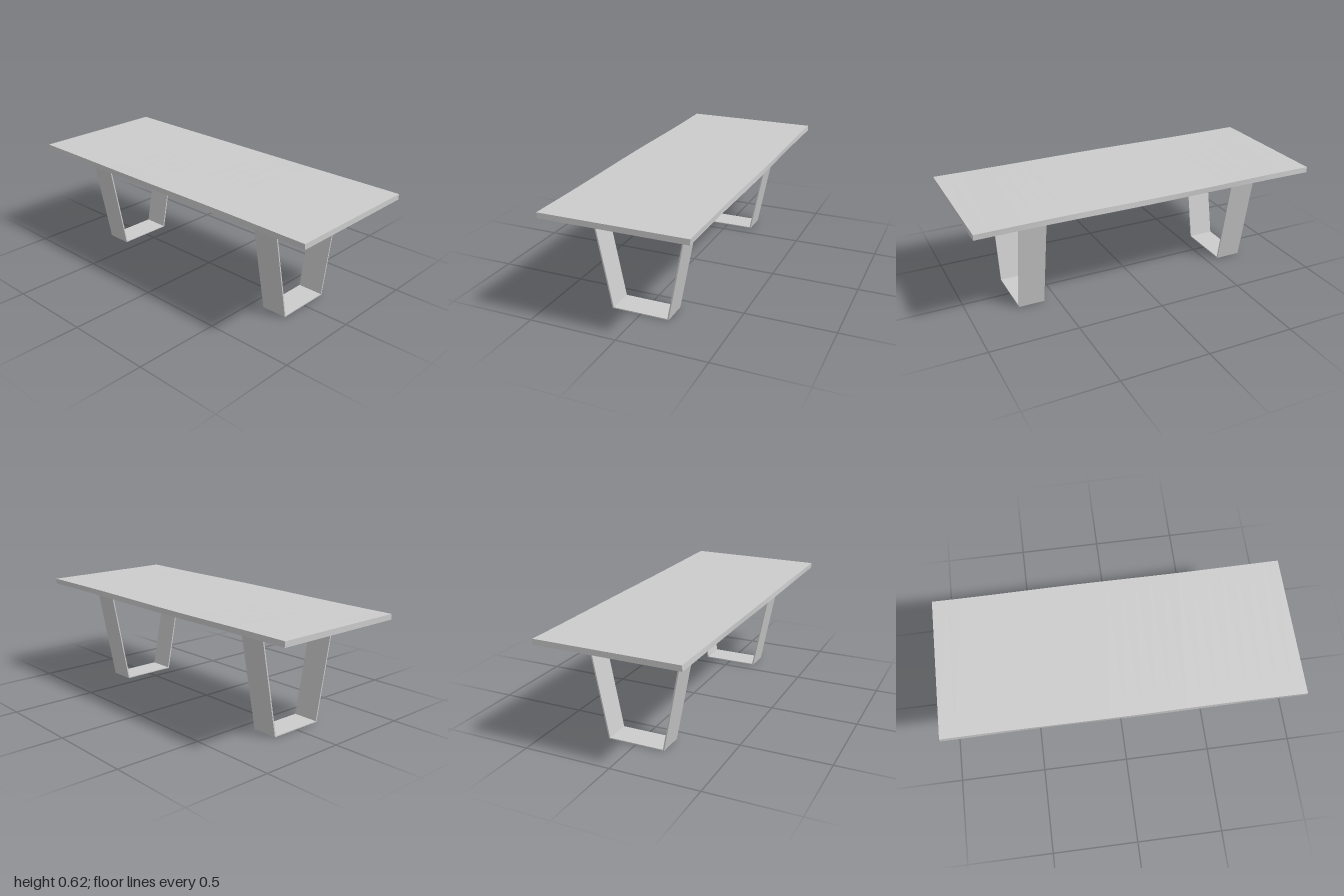
import * as THREE from 'three';

const grey = new THREE.MeshStandardMaterial({ color: 0xcccccc, flatShading: true });

function add(group, name, geometry, x = 0, y = 0, z = 0) {
  const mesh = new THREE.Mesh(geometry, grey);
  mesh.name = name;
  mesh.position.set(x, y, z);
  group.add(mesh);
  return mesh;
}

// Slab with slightly uneven, hand-cut long edges
function slabGeometry() {
  const geo = new THREE.BoxGeometry(2, 0.031, 0.812, 24, 1, 1);
  const p = geo.attributes.position;
  for (let i = 0; i < p.count; i++) {
    const x = p.getX(i), y = p.getY(i), z = p.getZ(i);
    const side = Math.sign(z);
    p.setZ(i, z + 0.002 * Math.sin(x * 5 + side * 1.3 + y * 40));
    p.setY(i, y + 0.001 * Math.sin(x * 4 + side));
  }
  geo.computeVertexNormals();
  return geo;
}

// Closed trapezoid frame of flat bar, drawn in z/y and extruded along x
function legGeometry(width) {
  const trapezoid = (bottom, top, y0, y1) =>
    [[-bottom, y0], [bottom, y0], [top, y1], [-top, y1]].map(([a, b]) => new THREE.Vector2(a, b));
  const shape = new THREE.Shape(trapezoid(0.165, 0.279, 0, 0.591));
  shape.holes.push(new THREE.Path(trapezoid(0.158, 0.27, 0.006, 0.584).reverse()));
  const geo = new THREE.ExtrudeGeometry(shape, { depth: width, bevelEnabled: false });
  geo.translate(0, 0, -width / 2);
  geo.rotateY(Math.PI / 2);
  return geo;
}

export function createModel() {
  const table = new THREE.Group();
  table.name = 'table';

  add(table, 'tableTop', slabGeometry(), 0, 0.6065, 0);

  const leg = legGeometry(0.15);
  add(table, 'leftLegFrame', leg, 0.648, 0, 0.002);
  add(table, 'rightLegFrame', leg, -0.652, 0, 0.002);

  // Flat rails under the top, joining the two leg frames
  for (const side of [1, -1]) {
    add(table, side > 0 ? 'frontRail' : 'backRail',
      new THREE.BoxGeometry(1.15, 0.007, 0.13), -0.002, 0.5875, side * 0.137);
  }
  return table;
}
